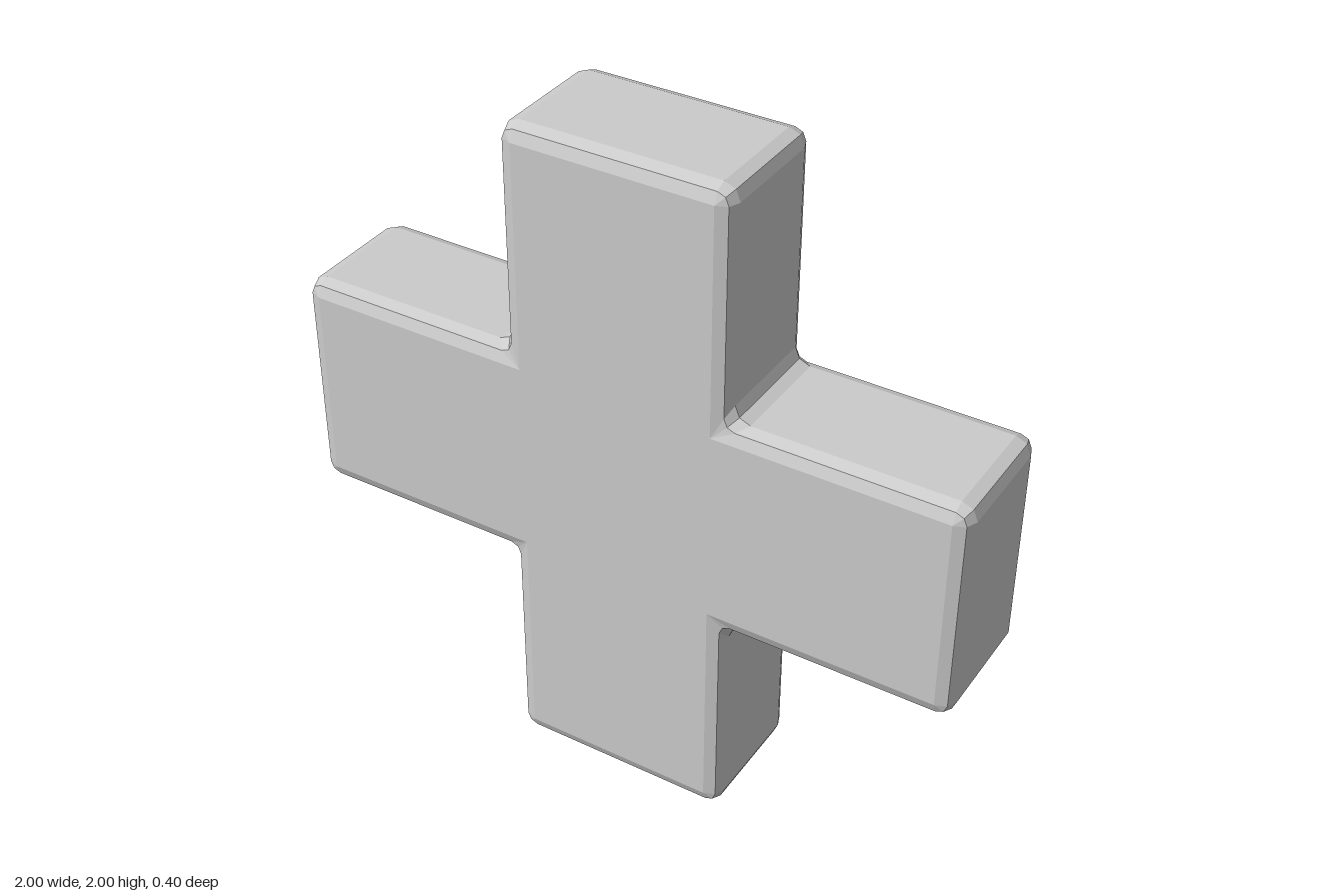
import * as THREE from 'three';

const HALF_ARM = 1 / 3;   // half the width of an arm
const DEPTH = 0.2;        // half the thickness
const BEVEL = 0.045;
const SEGMENTS = 2;       // facets per rounded edge

// Counter-clockwise cross outline: a core cross grown by r, with every corner rounded by r.
function crossOutline(r) {
  const inner = HALF_ARM - BEVEL, outer = 1 - BEVEL;
  const quadrant = [];
  const arc = (x, y, from, to) => {
    for (let i = 0; i <= SEGMENTS; i++) {
      const a = THREE.MathUtils.degToRad(from + (to - from) * i / SEGMENTS);
      quadrant.push(new THREE.Vector2(x + r * Math.cos(a), y + r * Math.sin(a)));
    }
  };
  arc(outer, inner, 0, 90);                          // side arm corner
  arc(inner + 2 * r, inner + 2 * r, 270, 180);       // inner fillet
  arc(inner, outer, 0, 90);                          // upright arm corner
  const origin = new THREE.Vector2();
  return [0, 1, 2, 3].flatMap(q =>
    quadrant.map(p => p.clone().rotateAround(origin, q * Math.PI / 2)));
}

function crossGeometry() {
  const positions = [], index = [];
  const rings = [];

  // Rings from the back face to the front face
  for (const side of [-1, 1]) {
    for (let k = 0; k <= SEGMENTS; k++) {
      const a = (side < 0 ? SEGMENTS - k : k) / SEGMENTS * Math.PI / 2;
      const z = side * (DEPTH - BEVEL + BEVEL * Math.sin(a));
      const ring = crossOutline(BEVEL * Math.cos(a));
      ring.forEach(p => positions.push(p.x, p.y + 1, z));
      rings.push(ring);
    }
  }

  // Bevels and side walls
  const n = rings[0].length;
  for (let k = 0; k < rings.length - 1; k++) {
    for (let j = 0; j < n; j++) {
      const a = k * n + j, b = k * n + (j + 1) % n;
      index.push(a, b, b + n, a, b + n, a + n);
    }
  }

  // Front and back faces, whose corners are sharp
  const step = SEGMENTS + 1;
  const corners = rings[0].filter((p, i) => i % step === 0);
  const front = (rings.length - 1) * n;
  for (const [a, b, c] of THREE.ShapeUtils.triangulateShape(corners, [])) {
    index.push(front + a * step, front + b * step, front + c * step);
    index.push(c * step, b * step, a * step);
  }

  const geometry = new THREE.BufferGeometry();
  geometry.setAttribute('position', new THREE.Float32BufferAttribute(positions, 3));
  geometry.setIndex(index);
  const flat = geometry.toNonIndexed();
  flat.computeVertexNormals();
  return flat;
}

export function createModel() {
  const group = new THREE.Group();
  group.name = 'plusSign';
  const cross = new THREE.Mesh(
    crossGeometry(),
    new THREE.MeshStandardMaterial({ color: 0xcccccc, flatShading: true }));
  cross.name = 'bevelledCross';
  group.add(cross);
  return group;
}
